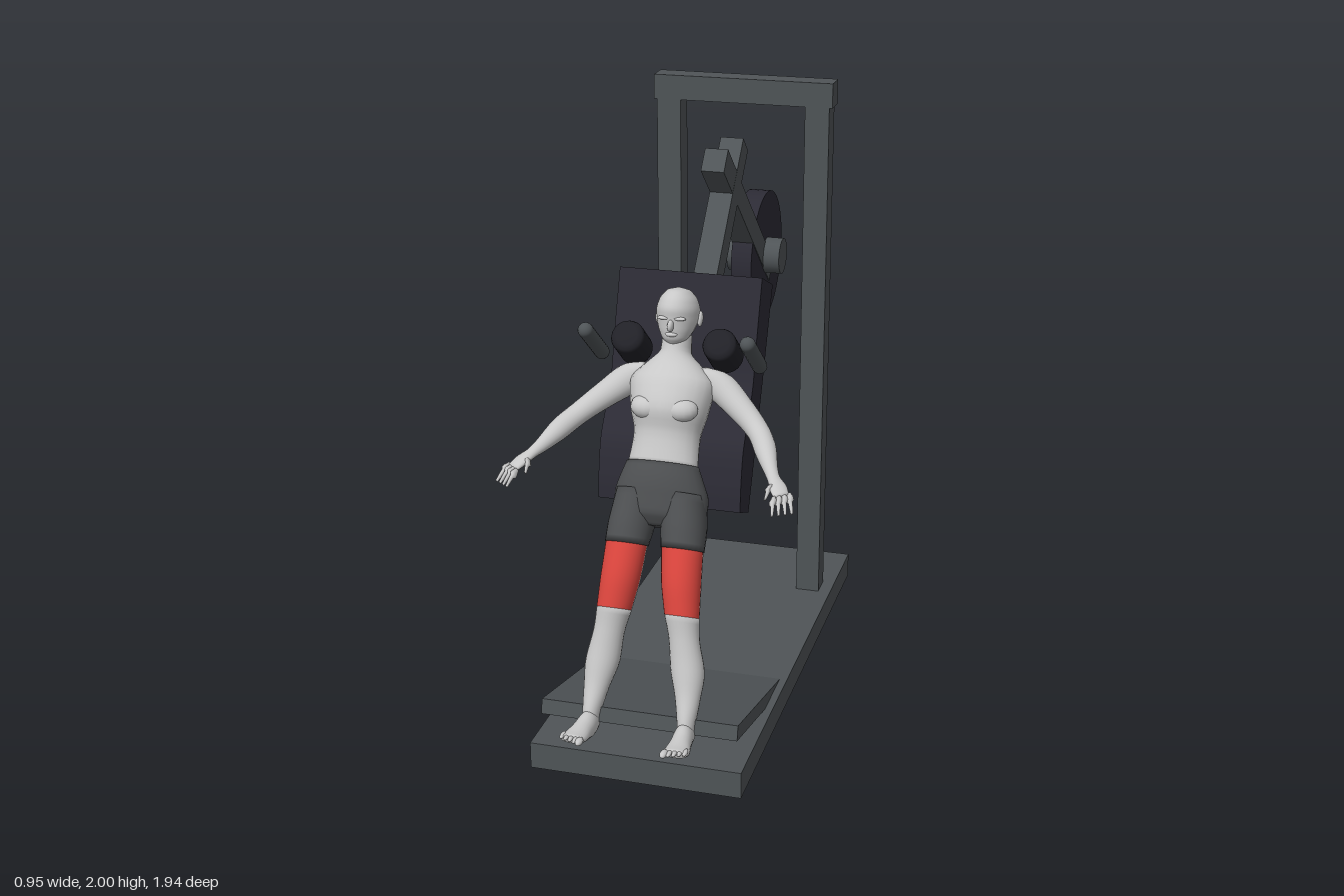
import * as THREE from 'three';
import { toCreasedNormals } from 'three/addons/utils/BufferGeometryUtils.js';

const V3 = (a) => new THREE.Vector3(...a);
const X = [1, 0, 0], LEAN = [0, 0.55, 1];

function material(name, color) {
  const m = new THREE.MeshStandardMaterial({ color });
  m.name = name;
  return m;
}

// Smooth skin through oval rings [x, y, z, ru, rv]; U and V span the ring plane.
// Angles are measured from V; a partial sweep leaves an open shell.
function loft(rings, U, V, a0 = 0, a1 = Math.PI * 2, sides = 24) {
  const closed = a1 - a0 > 6.28;
  const centre = new THREE.CatmullRomCurve3(rings.map((r) => V3(r.slice(0, 3))));
  const radii = new THREE.CatmullRomCurve3(rings.map((r) => V3([r[3], r[4], 0])));
  const steps = (rings.length - 1) * 4, cols = closed ? sides : sides + 1;
  const u = V3(U), v = V3(V), pos = [], idx = [];
  const along = V3(rings[rings.length - 1].slice(0, 3)).sub(V3(rings[0].slice(0, 3)));
  const flip = u.clone().cross(v).dot(along) < 0;
  const tri = (a, b, c) => (flip ? idx.push(a, c, b) : idx.push(a, b, c));
  for (let i = 0; i <= steps; i++) {
    const c = centre.getPoint(i / steps), r = radii.getPoint(i / steps);
    for (let j = 0; j < cols; j++) {
      const a = a0 + (a1 - a0) * j / sides;
      const p = c.clone().addScaledVector(u, r.x * Math.sin(a)).addScaledVector(v, r.y * Math.cos(a));
      pos.push(p.x, p.y, p.z);
    }
  }
  for (let i = 0; i < steps; i++) for (let j = 0; j < sides; j++) {
    const k = (j + 1) % cols, a = i * cols + j, b = i * cols + k;
    tri(a, a + cols, b);
    tri(b, a + cols, b + cols);
  }
  if (closed) {
    [0, steps].forEach((row) => {
      const c = centre.getPoint(row / steps), n = pos.length / 3;
      pos.push(c.x, c.y, c.z);
      for (let j = 0; j < cols; j++) {
        const a = row * cols + j, b = row * cols + (j + 1) % cols;
        if (row) tri(n, b, a); else tri(n, a, b);
      }
    });
  }
  const g = new THREE.BufferGeometry();
  g.setAttribute('position', new THREE.Float32BufferAttribute(pos, 3));
  g.setIndex(idx);
  g.computeVertexNormals();
  return g;
}

export function createModel() {
  const model = new THREE.Group();
  const frame = material('frame grey', 0x4f5457);
  const pad = material('padding black', 0x2c2b35);
  const roll = material('roller black', 0x212127);
  const skin = material('skin grey', 0xc8c8c8);
  const cloth = material('shorts grey', 0x4e5052);
  const red = material('muscle red', 0xdb453d);

  const add = (name, geo, mat, x = 0, y = 0, z = 0) => {
    const m = new THREE.Mesh(geo, mat);
    m.name = name;
    m.position.set(x, y, z);
    model.add(m);
    return m;
  };
  const box = (name, w, h, d, x, y, z) => add(name, new THREE.BoxGeometry(w, h, d), frame, x, y, z);
  // Points a y-axis part along a slope, given its two ends as [z, y]
  const slope = (name, geo, mat, x, [z0, y0], [z1, y1]) => {
    const m = add(name, geo, mat, x, (y0 + y1) / 2, (z0 + z1) / 2);
    m.rotation.x = Math.atan2(z1 - z0, y1 - y0);
    return m;
  };
  const beam = (name, w, t, a, b) =>
    slope(name, new THREE.BoxGeometry(w, Math.hypot(b[0] - a[0], b[1] - a[1]), t), frame, 0, a, b);
  const ball = (name, mat, x, y, z, sx, sy, sz) =>
    add(name, new THREE.SphereGeometry(1, 16, 12).scale(sx, sy, sz), mat, x, y, z);

  // Machine frame
  box('base', 0.7, 0.09, 1.67, 0, 0.045, -0.015);
  box('crossbar', 0.635, 0.085, 0.086, 0, 1.9575, -0.543);
  for (const s of [-1, 1]) box('post', 0.085, 1.83, 0.084, s * 0.264, 1.003, -0.543);
  beam('footPlate', 0.65, 0.05, [0.771, 0.201], [0.138, 0.051]);
  beam('backrestArm', 0.08, 0.085, [0.18, 1.15], [-0.397, 1.797]);
  beam('weightArm', 0.079, 0.085, [-0.1375, 1.8], [-0.794, 1.233]);

  // Weight disc and its hub
  add('weightDisc', new THREE.CylinderGeometry(0.235, 0.235, 0.074, 64).rotateZ(Math.PI / 2), pad, 0, 1.31, -0.733);
  add('weightHub', new THREE.CylinderGeometry(0.065, 0.065, 0.195, 32).rotateZ(Math.PI / 2), frame, 0, 1.31, -0.733);

  // Contoured backrest, drawn as a side profile in z and y
  const side = new THREE.Shape();
  side.moveTo(0.155, 1.5);
  side.lineTo(0.01, 1.435);
  side.lineTo(0.135, 1.14);
  side.lineTo(0.31, 0.75);
  side.lineTo(0.42, 0.795);
  side.splineThru([[0.412, 0.88], [0.385, 0.99], [0.325, 1.08], [0.265, 1.17], [0.225, 1.3], [0.155, 1.5]]
    .map((p) => new THREE.Vector2(...p)));
  const back = new THREE.ExtrudeGeometry(side, { depth: 0.476, bevelEnabled: false, curveSegments: 5 })
    .rotateY(-Math.PI / 2).translate(0.238, 0, 0);
  add('backrest', toCreasedNormals(back, 0.5), pad);

  // Shoulder rollers and handles
  const rim = [[0, -0.075], [0.035, -0.075], [0.05, -0.068], [0.055, -0.055],
    [0.055, 0.055], [0.05, 0.068], [0.035, 0.075], [0, 0.075]].map((p) => new THREE.Vector2(...p));
  for (const s of [-1, 1]) {
    slope('shoulderRoller', new THREE.LatheGeometry(rim, 28), roll, s * 0.151, [0.25, 1.25], [0.37, 1.345]);
    slope('handle', new THREE.CapsuleGeometry(0.025, 0.2, 6, 16), frame, s * 0.263, [0.265, 1.235], [0.455, 1.385]);
  }

  // Torso and shorts
  add('torso', loft([
    [0, 0.945, 0.485, 0.115, 0.059], [0, 1.04, 0.428, 0.108, 0.078], [0, 1.11, 0.405, 0.125, 0.098],
    [0, 1.19, 0.365, 0.138, 0.088], [0, 1.243, 0.34, 0.095, 0.062], [0, 1.285, 0.323, 0.05, 0.052],
    [0, 1.34, 0.305, 0.046, 0.05]], X, LEAN), skin);
  add('shorts', loft([
    [0, 0.962, 0.478, 0.118, 0.064], [0, 0.91, 0.487, 0.138, 0.077], [0, 0.857, 0.494, 0.154, 0.085],
    [0, 0.8, 0.518, 0.15, 0.075], [0, 0.765, 0.53, 0.1, 0.045]], X, LEAN), cloth);

  // Head
  add('head', loft([
    [0, 1.49, 0.288, 0.004, 0.005], [0, 1.482, 0.288, 0.034, 0.045], [0, 1.455, 0.29, 0.058, 0.076],
    [0, 1.42, 0.295, 0.068, 0.089], [0, 1.39, 0.301, 0.066, 0.083], [0, 1.36, 0.318, 0.056, 0.066],
    [0, 1.335, 0.336, 0.04, 0.045], [0, 1.318, 0.348, 0.016, 0.018]], X, [0, 0.25, 1]), skin);
  ball('nose', skin, 0, 1.392, 0.385, 0.01, 0.02, 0.018).rotation.x = -0.4;
  ball('lips', skin, 0, 1.362, 0.378, 0.02, 0.008, 0.011);

  for (const s of [-1, 1]) {
    const mirror = (rings) => rings.map(([x, ...r]) => [s * x, ...r]);
    ball('ear', skin, s * 0.069, 1.39, 0.285, 0.009, 0.025, 0.015).rotation.x = -0.3;
    ball('brow', skin, s * 0.026, 1.414, 0.375, 0.022, 0.006, 0.01);
    ball('chestMuscle', skin, s * 0.055, 1.145, 0.46, 0.055, 0.04, 0.045);

    // Short leg, thigh with coloured front, lower leg
    const hem = [0.092, 0.722, 0.577, 0.067, 0.058];
    add('shortsLeg', loft(mirror([
      [0.075, 0.87, 0.493, 0.07, 0.075], [0.085, 0.785, 0.535, 0.074, 0.075],
      [0.092, 0.718, 0.579, 0.07, 0.061]]), X, LEAN), cloth);
    const thigh = mirror([hem, [0.1, 0.62, 0.62, 0.064, 0.06], [0.112, 0.524, 0.656, 0.056, 0.052]]);
    const q = Math.PI / 2;
    add('thighFront', loft(thigh, X, LEAN, -q, q, 14), red);
    add('thighBack', loft(thigh, X, LEAN, q, 3 * q, 14), skin);
    add('lowerLeg', loft(mirror([
      [0.112, 0.524, 0.656, 0.056, 0.052], [0.125, 0.45, 0.674, 0.05, 0.044], [0.14, 0.36, 0.692, 0.055, 0.048],
      [0.151, 0.28, 0.73, 0.041, 0.037], [0.157, 0.2, 0.77, 0.028, 0.034],
      [0.158, 0.165, 0.78, 0.026, 0.03]]), X, LEAN), skin);

    // Foot with toes
    add('foot', loft(mirror([
      [0.158, 0.168, 0.733, 0.008, 0.012], [0.158, 0.17, 0.75, 0.025, 0.034], [0.158, 0.178, 0.8, 0.031, 0.045],
      [0.162, 0.18, 0.85, 0.034, 0.035], [0.166, 0.187, 0.9, 0.04, 0.023],
      [0.167, 0.197, 0.935, 0.039, 0.014]]), X, [0, 1, 0]), skin);
    for (let i = 0; i < 5; i++) {
      const r = i ? 0.0075 : 0.012;
      ball('toe', skin, s * (0.137 + i * 0.0155), 0.202, 0.95 - i * 0.006, r, r * 0.9, 0.022);
    }

    // Arm and palm
    const U = [s * 0.74, 0, -0.67], V = [s * 0.3, 0.89, 0.33];
    add('arm', loft(mirror([
      [0.085, 1.215, 0.335, 0.04, 0.04], [0.145, 1.19, 0.34, 0.05, 0.052], [0.22, 1.14, 0.375, 0.044, 0.043],
      [0.295, 1.085, 0.425, 0.036, 0.036], [0.335, 1.055, 0.49, 0.036, 0.035], [0.375, 1.02, 0.575, 0.023, 0.022],
      [0.392, 1.008, 0.61, 0.021, 0.016], [0.415, 0.993, 0.645, 0.029, 0.014],
      [0.432, 0.98, 0.675, 0.026, 0.01]]), U, V), skin);

    // Four fingers and a thumb
    const finger = (a, b, r) => add('finger', loft(mirror([
      [...a, r, r], [...a.map((c, k) => (c + b[k]) / 2 + (k === 1 ? 0.004 : 0)), r, r],
      [...b, r * 0.6, r * 0.6]]), U, V, 0, Math.PI * 2, 8), skin);
    for (let i = 0; i < 4; i++) {
      const o = (i - 1.5) * 0.013;
      finger([0.43 + o, 0.982, 0.672 - o], [0.448 + o * 1.3, 0.95 - i * 0.002, 0.735 - o * 1.2], 0.0075);
    }
    finger([0.392, 1.0, 0.635], [0.385, 0.972, 0.69], 0.009);
  }
  return model;
}
